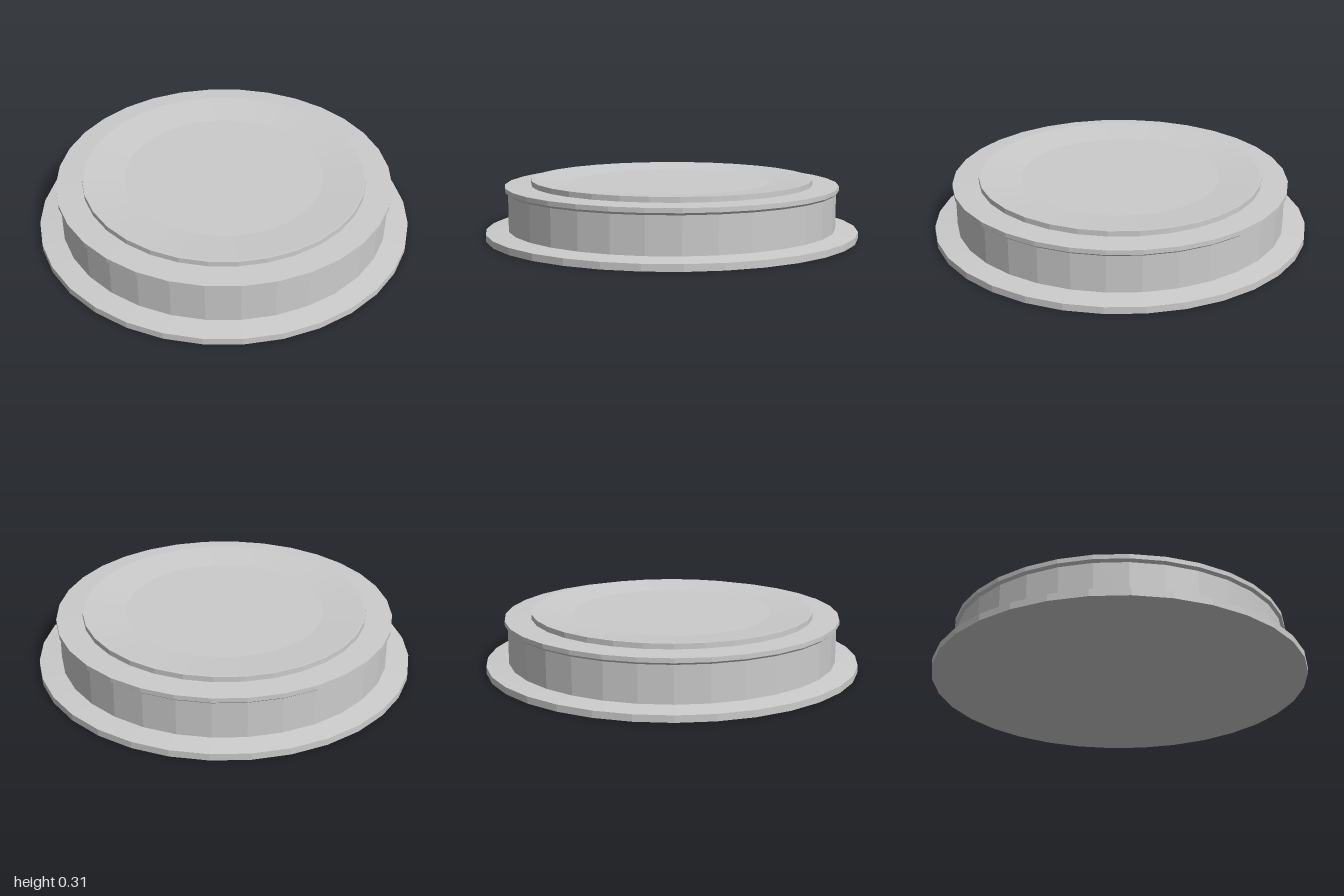
import * as THREE from 'three';

const SIDES = 32;

export function createModel() {
  const group = new THREE.Group();
  const material = new THREE.MeshStandardMaterial({ color: 0xcccccc, flatShading: true });

  // Revolves a [radius, height] profile, listed from bottom to top
  const turned = (name, profile) => {
    const points = profile.map(([r, y]) => new THREE.Vector2(r, y));
    const mesh = new THREE.Mesh(new THREE.LatheGeometry(points, SIDES), material);
    mesh.name = name;
    group.add(mesh);
  };

  // Wide foot with a gently sloping top and a closed underside
  turned('baseFlange', [[0, 0], [1, 0], [1, 0.036], [0.88, 0.048]]);

  // Upright drum
  turned('drumWall', [[0.88, 0.048], [0.88, 0.242]]);

  // Overhanging lip with a chamfered underside
  turned('lip', [[0.88, 0.242], [0.895, 0.254], [0.895, 0.278], [0.755, 0.282]]);

  // Raised top with a shallow dish and a flat middle
  turned('dishedTop', [[0.755, 0.282], [0.755, 0.31], [0.745, 0.31], [0.53, 0.29], [0, 0.29]]);

  return group;
}
